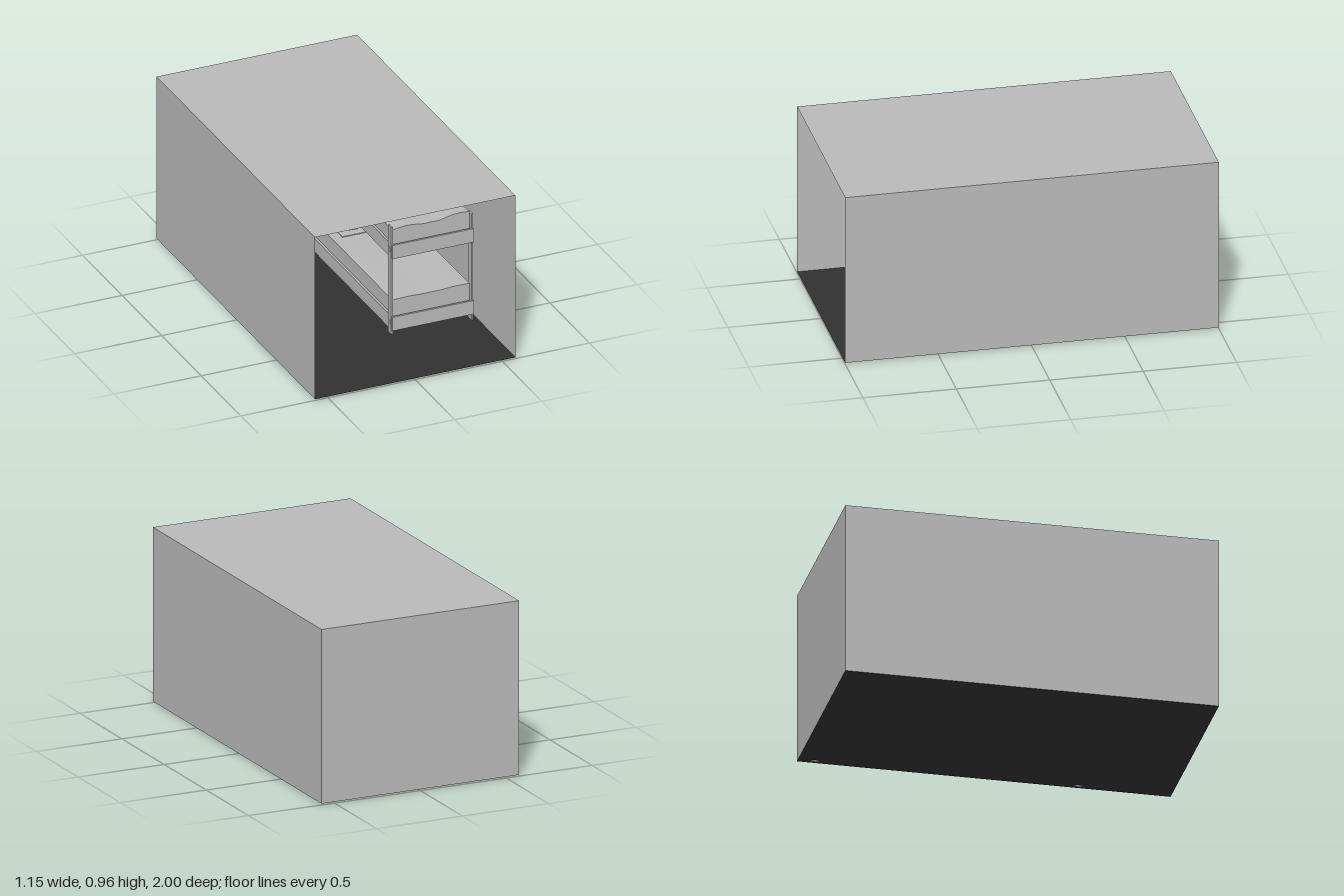
import * as THREE from 'three';

const wallGrey = new THREE.MeshStandardMaterial({ color: 0xb8b8b8, side: THREE.DoubleSide });
wallGrey.name = 'wall grey';
const floorGrey = new THREE.MeshStandardMaterial({ color: 0x313131, side: THREE.DoubleSide });
floorGrey.name = 'floor dark grey';

function add(parent, name, geometry, material = wallGrey) {
  const mesh = new THREE.Mesh(geometry, material);
  mesh.name = name;
  parent.add(mesh);
  return mesh;
}

// Box given by its limits on each axis
function block(parent, name, [x0, x1], [y0, y1], [z0, z1]) {
  const mesh = add(parent, name, new THREE.BoxGeometry(x1 - x0, y1 - y0, z1 - z0));
  mesh.position.set((x0 + x1) / 2, (y0 + y1) / 2, (z0 + z1) / 2);
}

// Flat room panel
function panel(parent, name, w, h, pos, rot, material) {
  const mesh = add(parent, name, new THREE.PlaneGeometry(w, h), material);
  mesh.position.set(...pos);
  mesh.rotation.set(...rot);
}

// Rumpled cover: a slab whose top follows a wavy profile across the bed
function cover(parent, name, y, swell) {
  const w = 0.442, d = 1.4, h = 0.02;
  const geo = new THREE.BoxGeometry(w, h, d, 24, 1, 40);
  const p = geo.attributes.position;
  const profile = [0.2, 0.8, 1, 0.6, 0.1, 0.2, 0.1, 0.6, 1, 1, 0.8];
  const last = profile.length - 1;
  for (let i = 0; i < p.count; i++) {
    if (p.getY(i) < 0) continue;
    const t = THREE.MathUtils.clamp((p.getX(i) / w + 0.5) * last, 0, last);
    const k = Math.min(Math.floor(t), last - 1);
    const bump = THREE.MathUtils.lerp(profile[k], profile[k + 1], t - k);
    const ripple = 0.75 + 0.25 * Math.sin(p.getZ(i) * 9 + p.getX(i) * 6);
    p.setY(i, h / 2 + swell * bump * ripple);
  }
  geo.computeVertexNormals();
  add(parent, name, geo).position.set(0.317, y + h / 2, -0.2);
}

export function createModel() {
  const model = new THREE.Group();
  model.name = 'bunkRoom';

  // Room shell, open at the front
  const room = new THREE.Group();
  room.name = 'room';
  model.add(room);
  const X = 0.575, Y0 = 0.007, Y1 = 0.96, H = Y1 - Y0, mid = (Y0 + Y1) / 2, q = Math.PI / 2;
  panel(room, 'floor', 2 * X, 2, [0, Y0, 0], [-q, 0, 0], floorGrey);
  panel(room, 'ceiling', 2 * X, 2, [0, Y1, 0], [-q, 0, 0], wallGrey);
  panel(room, 'backWall', 2 * X, H, [0, mid, -1], [0, Math.PI, 0], wallGrey);
  for (const [name, s] of [['leftWall', 1], ['rightWall', -1]])
    panel(room, name, 2, H, [s * X, mid, 0], [0, s * q, 0], wallGrey);

  // Bunk bed against the left wall
  const bed = new THREE.Group();
  bed.name = 'bunkBed';
  model.add(bed);
  const zFront = 0.53, zBack = -0.93;
  for (const z of [0.5, -0.91]) {
    block(bed, 'innerPost', [0.08, 0.091], [0.02, 0.65], [z - 0.02, z + 0.02]);
    block(bed, 'wallPost', [0.54, 0.551], [0, 0.632], [z - 0.02, z + 0.02]);
  }

  // Two bunks with frame boards, mattress and cover
  for (const [name, y, top, swell] of [['lower', 0.045, 0.19, 0.006], ['upper', 0.468, 0.6, 0.022]]) {
    const bunk = new THREE.Group();
    bunk.name = name + 'Bunk';
    bed.add(bunk);
    const rail = [y, y + 0.08];
    block(bunk, 'frontBoard', [0.083, 0.551], rail, [zFront - 0.012, zFront]);
    block(bunk, 'backBoard', [0.083, 0.551], rail, [zBack, zBack + 0.012]);
    block(bunk, 'innerSideBoard', [0.083, 0.095], rail, [zBack, zFront]);
    block(bunk, 'wallSideBoard', [0.539, 0.551], rail, [zBack, zFront]);
    block(bunk, 'bedBase', [0.095, 0.539], [y + 0.02, y + 0.035], [zBack + 0.012, zFront - 0.012]);
    block(bunk, 'mattress', [0.096, 0.538], [y + 0.035, top], [-0.9, 0.5]);
    for (const z of [0.5, -0.91])
      block(bunk, 'boltPlate', [0.078, 0.083], [y + 0.035, y + 0.06], [z - 0.012, z + 0.012]);
    cover(bunk, 'cover', top, swell);
  }

  // Folded cloth left on the lower bunk
  const cloth = new THREE.Group();
  cloth.name = 'foldedCloth';
  cloth.position.set(0.2, 0.215, -0.4);
  bed.add(cloth);
  const fold = new THREE.Shape([[0.005, 0], [0.07, 0], [0.015, 0.035]].map(a => new THREE.Vector2(...a)));
  add(cloth, 'foldPeak', new THREE.ExtrudeGeometry(fold, { depth: 0.1, bevelEnabled: false }));
  block(cloth, 'flatFold', [-0.05, 0.1], [-0.002, 0.002], [-0.05, 0.15]);
  const curl = new THREE.CylinderGeometry(0.035, 0.035, 0.1, 8, 1, true, 0, q);
  const roll = add(cloth, 'curledEdge', curl);
  roll.rotation.x = -q;
  roll.scale.z = 0.45;
  roll.position.set(0.065, 0, 0.05);
  return model;
}
